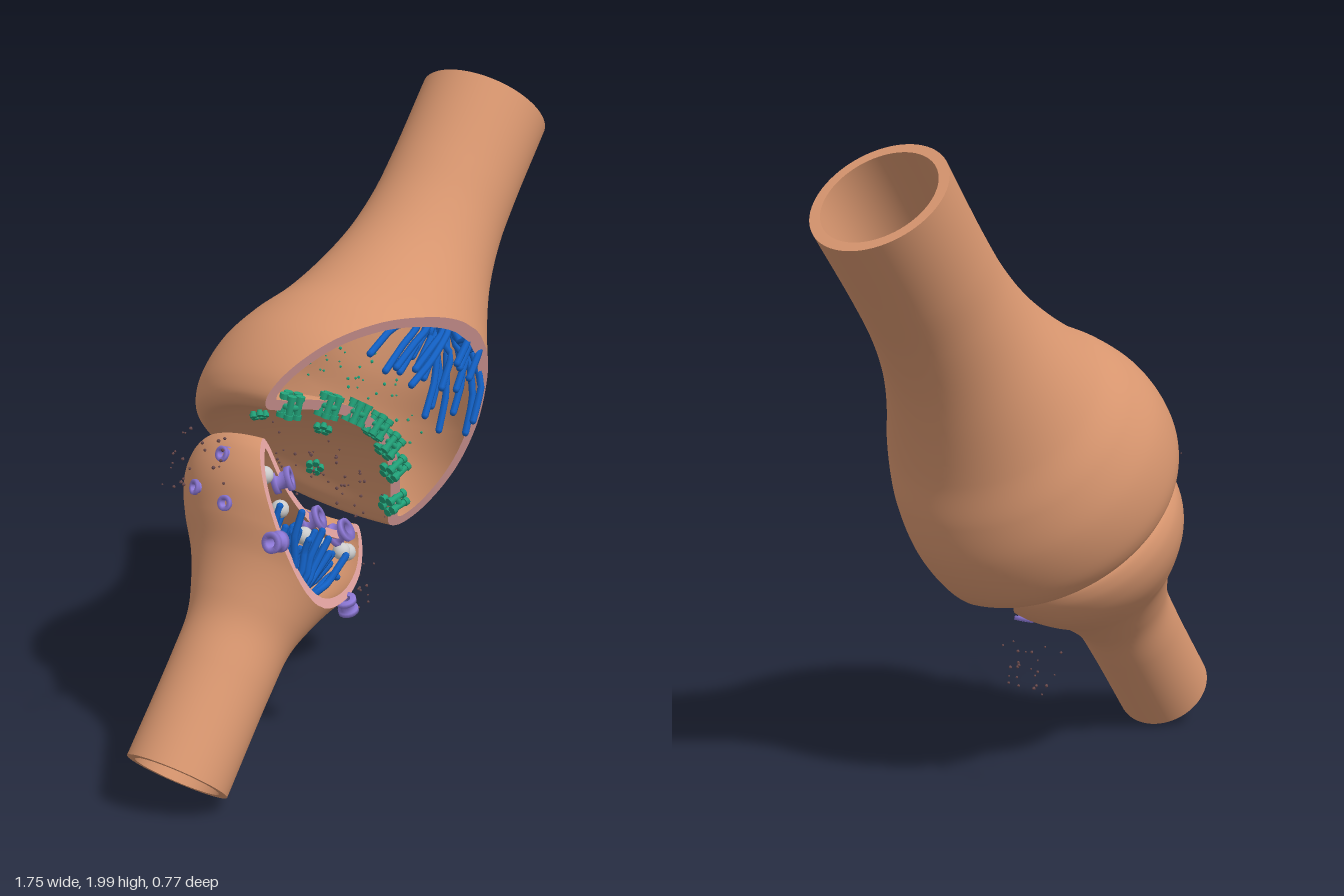
import * as THREE from 'three';
import { mergeGeometries } from 'three/addons/utils/BufferGeometryUtils.js';

const mat = (color) => new THREE.MeshStandardMaterial({ color });
const SKIN = mat(0xd8966f), RIM = mat(0xe2a3a0), BLUE = mat(0x1260c4), GREEN = mat(0x22a37a);
const PURPLE = mat(0x8d78d6), GREY = mat(0xcccccc), DARK = mat(0x6a4a4c);
const V = (x, y, z = 0) => new THREE.Vector3(x, y, z);

let seed = 7;
const rand = (a = 0, b = 1) => {
  seed = (seed * 16807) % 2147483647;
  return a + (b - a) * (seed / 2147483647);
};

function add(parent, name, geometry, material) {
  const mesh = new THREE.Mesh(geometry, material);
  mesh.name = name;
  parent.add(mesh);
  return mesh;
}

// Profile rows {r, y, nr, ny}; inset moves them inward along the normal.
// Extra rows are inserted where the ring just touches the cutting plane z = cut(y).
function profileRows(points, dir, inset, cut) {
  const curve = new THREE.CatmullRomCurve3(points.map(([r, y]) => V(r, y)));
  const rows = [];
  const n = 170;
  for (let i = 0; i <= n; i++) {
    const p = curve.getPointAt(i / n), t = curve.getTangentAt(i / n);
    const nr = i === n ? 0 : -dir * t.y, ny = i === n ? -dir : dir * t.x;
    const row = { r: Math.max(0, p.x - nr * inset), y: p.y - ny * inset, nr, ny };
    const prev = rows[rows.length - 1];
    if (prev) {
      const a = prev.r - cut(prev.y), b = row.r - cut(row.y);
      if (a * b < 0) {
        const f = a / (a - b), mix = {};
        for (const k of Object.keys(row)) mix[k] = prev[k] + (row[k] - prev[k]) * f;
        rows.push(mix);
      }
    }
    rows.push(row);
  }
  return rows;
}

// Surface of revolution that leaves out everything in front of the cutting plane
function cutLathe(rows, cut, flip) {
  const N = 72, pos = [], nor = [], idx = [], s = flip ? -1 : 1;
  rows.forEach(({ r, y, nr, ny }, i) => {
    const c = cut(y), start = r > c ? Math.acos(c / r) : 0;
    for (let j = 0; j <= N; j++) {
      const a = start + ((2 * Math.PI - 2 * start) * j) / N;
      pos.push(r * Math.sin(a), y, r * Math.cos(a));
      nor.push(s * nr * Math.sin(a), s * ny, s * nr * Math.cos(a));
      if (i && j < N) {
        const d = i * (N + 1) + j, u = d - N - 1;
        idx.push(u, d, u + 1, d, d + 1, u + 1);
      }
    }
  });
  const g = new THREE.BufferGeometry();
  g.setAttribute('position', new THREE.Float32BufferAttribute(pos, 3));
  g.setAttribute('normal', new THREE.Float32BufferAttribute(nor, 3));
  g.setIndex(idx);
  return g;
}

// Outline of the cut, mirrored left to right
function cutOutline(rows, cut) {
  const half = rows.filter((p) => p.r >= cut(p.y) - 1e-9)
    .map((p) => new THREE.Vector2(Math.sqrt(Math.max(0, p.r ** 2 - cut(p.y) ** 2)), p.y));
  const other = half.slice(1, -1).reverse().map((p) => new THREE.Vector2(-p.x, p.y));
  return half.concat(other);
}

// Hollow nerve ending: outer wall, inner wall, open tube end and the cut rim
function nerveEnding(name, points, dir, wall, cut) {
  const group = new THREE.Group();
  group.name = name;
  const outer = profileRows(points, dir, 0, cut), inner = profileRows(points, dir, wall, cut);
  add(group, 'outerWall', cutLathe(outer, cut, dir < 0), SKIN);
  const lining = cutLathe(inner, cut, true);
  const finish = dir < 0 ? cutLathe(inner, cut, false) : lining;
  if (dir < 0) finish.attributes.normal.copy(lining.attributes.normal);
  const wallMesh = add(group, 'innerWall', finish, SKIN);
  if (dir > 0) {
    const ix = finish.index.array;
    for (let i = 0; i < ix.length; i += 3) [ix[i], ix[i + 1]] = [ix[i + 1], ix[i]];
  } else {
    const ix = group.children[0].geometry.index.array;
    for (let i = 0; i < ix.length; i += 3) [ix[i], ix[i + 1]] = [ix[i + 1], ix[i]];
    group.children[0].geometry.attributes.normal.copy(cutLathe(outer, cut, false).attributes.normal);
  }
  wallMesh.material = SKIN;
  const [r, y] = points[0];
  add(group, 'tubeEnd', new THREE.RingGeometry(r - wall, r, 72).rotateX((-dir * Math.PI) / 2).translate(0, y, 0), SKIN);
  const shape = new THREE.Shape(cutOutline(outer, cut));
  shape.holes.push(new THREE.Path(cutOutline(inner, cut)));
  const rim = new THREE.ShapeGeometry(shape), p = rim.attributes.position;
  for (let i = 0; i < p.count; i++) p.setZ(i, cut(p.getY(i)));
  rim.computeVertexNormals();
  add(group, 'cutRim', rim, RIM);
  group.rotation.z = (-40 * Math.PI) / 180;
  return group;
}

function filament(points) {
  const curve = new THREE.CatmullRomCurve3(points, false, 'catmullrom', 0.25);
  const parts = [new THREE.TubeGeometry(curve, 20, 0.011, 7)];
  for (const e of [points[0], points[points.length - 1]])
    parts.push(new THREE.SphereGeometry(0.011, 7, 5).translate(e.x, e.y, e.z));
  return mergeGeometries(parts);
}

// Ring of short rods held by a collar
function receptorGeometry() {
  const parts = [new THREE.TorusGeometry(0.022, 0.009, 6, 16).rotateX(Math.PI / 2)];
  for (let i = 0; i < 5; i++) {
    const a = (i * 2 * Math.PI) / 5, x = 0.024 * Math.cos(a), z = 0.024 * Math.sin(a);
    parts.push(new THREE.CylinderGeometry(0.01, 0.01, 0.062, 8).translate(x, 0, z));
    for (const y of [-0.028, 0.028])
      parts.push(new THREE.CylinderGeometry(0.014, 0.014, 0.014, 8).translate(x, y, z));
  }
  return mergeGeometries(parts);
}

// Hollow spool with a flange at each end
function channelGeometry() {
  const pts = [[0.015, -0.026], [0.033, -0.026], [0.033, -0.012], [0.023, -0.012], [0.023, 0.012],
    [0.033, 0.012], [0.033, 0.026], [0.015, 0.026], [0.015, -0.026]];
  return new THREE.LatheGeometry(pts.map(([x, y]) => new THREE.Vector2(x, y)), 20).toNonIndexed();
}

function place(parent, name, geo, material, at, axis, size = 1) {
  const m = add(parent, name, geo, material);
  m.position.copy(at);
  m.quaternion.setFromUnitVectors(V(0, 1), axis.clone().normalize());
  m.scale.setScalar(size);
}

function specks(parent, name, count, material, pick) {
  const parts = [];
  for (let i = 0; i < count; i++) {
    const p = pick();
    parts.push(new THREE.IcosahedronGeometry(rand(0.003, 0.006), 0).translate(p.x, p.y, p.z));
  }
  add(parent, name, mergeGeometries(parts), material);
}

export function createModel() {
  const model = new THREE.Group();
  model.name = 'synapse';

  // Large upper ending with a hollowed underside
  const cutUp = (y) => 0.1 + 0.58 * y;
  const upper = nerveEnding('upperEnding', [[0.205, 1.122], [0.205, 0.85], [0.212, 0.7], [0.235, 0.56], [0.275, 0.43],
    [0.335, 0.29], [0.4, 0.18], [0.447, 0.07], [0.463, -0.03], [0.458, -0.1], [0.437, -0.147], [0.405, -0.163],
    [0.37, -0.15], [0.3, -0.105], [0.2, -0.055], [0.1, -0.025], [0, -0.015]], 1, 0.032, cutUp);
  upper.position.set(0, 1, 0.085);

  // Small lower ending with a hollowed top
  const cutLow = (y) => 0.2 - 0.5 * (y + 0.55);
  const lower = nerveEnding('lowerEnding', [[0.156, -1.17], [0.156, -0.85], [0.162, -0.72], [0.185, -0.64], [0.228, -0.54],
    [0.285, -0.45], [0.325, -0.37], [0.338, -0.31], [0.334, -0.255], [0.313, -0.22], [0.283, -0.225],
    [0.2, -0.283], [0.1, -0.32], [0, -0.333]], -1, 0.025, cutLow);
  lower.position.set(0, 1, 0.015);
  model.add(upper, lower);

  // Filament bundles run along each tube and fan out in the bulb
  for (let i = 0; i < 24; i++) {
    const a = (i % 12) / 11, t = -0.2 + 0.42 * a, front = i < 12 ? 0.24 : 0.14;
    const y = 0.2 - 0.05 * Math.cos(a * 6) + rand(-0.04, 0.04), z = front + rand(-0.04, 0.05);
    add(upper, 'filament', filament([V(0.02 + t * 0.3, rand(0.75, 0.95), rand(-0.06, 0.09)), V(0.04 + t * 0.35, 0.5, 0.08),
      V(0.04 + t * 0.5, 0.33, z * 0.85), V(0.02 + t * 0.8, y + 0.07, z), V(t, y - 0.04, z + 0.01)]), BLUE);
  }
  for (let i = 0; i < 24; i++) {
    const a = (i % 12) / 11, t = -0.19 + 0.34 * a, z = (i < 12 ? 0.15 : 0.07) + rand(-0.03, 0.03);
    add(lower, 'filament', filament([V(t * 0.4, rand(-0.9, -0.78), z * 0.4), V(t * 0.45, -0.62, z * 0.7),
      V(t * 0.6, -0.52, z), V(t * 0.9, -0.46 + rand(-0.02, 0.02), z), V(t * 1.05, -0.4 + rand(-0.04, 0.03), z + 0.01)]), BLUE);
  }

  // Receptors along the hollowed membrane of the upper ending
  const receptor = receptorGeometry();
  for (const t of [-0.342, -0.224, -0.113, 0, 0.106, 0.208, 0.331])
    place(upper, 'receptor', receptor, GREEN, V(t, -t * t, cutUp(-t * t)), V(2 * t, 1, 0.2));
  for (const [t, z] of [[0.02, -0.1], [-0.15, -0.22], [0.2, -0.2]]) {
    const r2 = t * t + z * z;
    place(upper, 'receptor', receptor, GREEN, V(t, -r2 - 0.005, z), V(2 * t, 1, 2 * z), 0.8);
  }

  // Channels on the lower ending: cut membrane, cut wall and outer side
  const channel = channelGeometry();
  for (const [t, y] of [[-0.195, -0.293], [-0.005, -0.33], [0.18, -0.293]])
    place(lower, 'membraneChannel', channel, PURPLE, V(t, y, cutLow(y)), V(-t, 0.55, 0.85), 1.1);
  for (const [x, y, z] of [[-0.235, -0.49, 0.165], [0.225, -0.495, 0.165], [-0.335, -0.3, -0.05],
    [-0.285, -0.4, -0.13], [-0.298, -0.43, 0.0]])
    place(lower, 'wallChannel', channel, PURPLE, V(x, y, z), V(x, -0.13, z > 0.1 ? 0 : z), z > 0.1 ? 0.95 : 0.7);

  // Vesicles
  for (const [x, y] of [[-0.274, -0.316], [-0.18, -0.375], [-0.03, -0.392], [0.045, -0.38], [0.219, -0.338], [0.259, -0.325]]) {
    const ball = add(lower, 'vesicle', new THREE.SphereGeometry(0.027, 20, 14), GREY);
    ball.position.set(x, y, cutLow(y) - 0.02);
  }

  // Loose particles beside the lower ending, in the cleft and in the upper bulb
  const cloud = (x, y, z, s) => () => V(x + rand(-s, s), y + rand(-s, s), z + rand(-s, s));
  specks(model, 'particles', 24, DARK, cloud(-0.59, 1.0, -0.03, 0.08));
  specks(model, 'particles', 24, DARK, cloud(0.12, 0.42, -0.03, 0.08));
  specks(upper, 'cleftParticles', 50, DARK, () => V(rand(-0.24, 0.24), rand(-0.24, -0.1), rand(-0.2, 0.1)));
  specks(upper, 'innerParticles', 40, GREEN, () => V(rand(-0.3, 0.3), rand(0.04, 0.17), rand(-0.15, 0.12)));
  return model;
}
